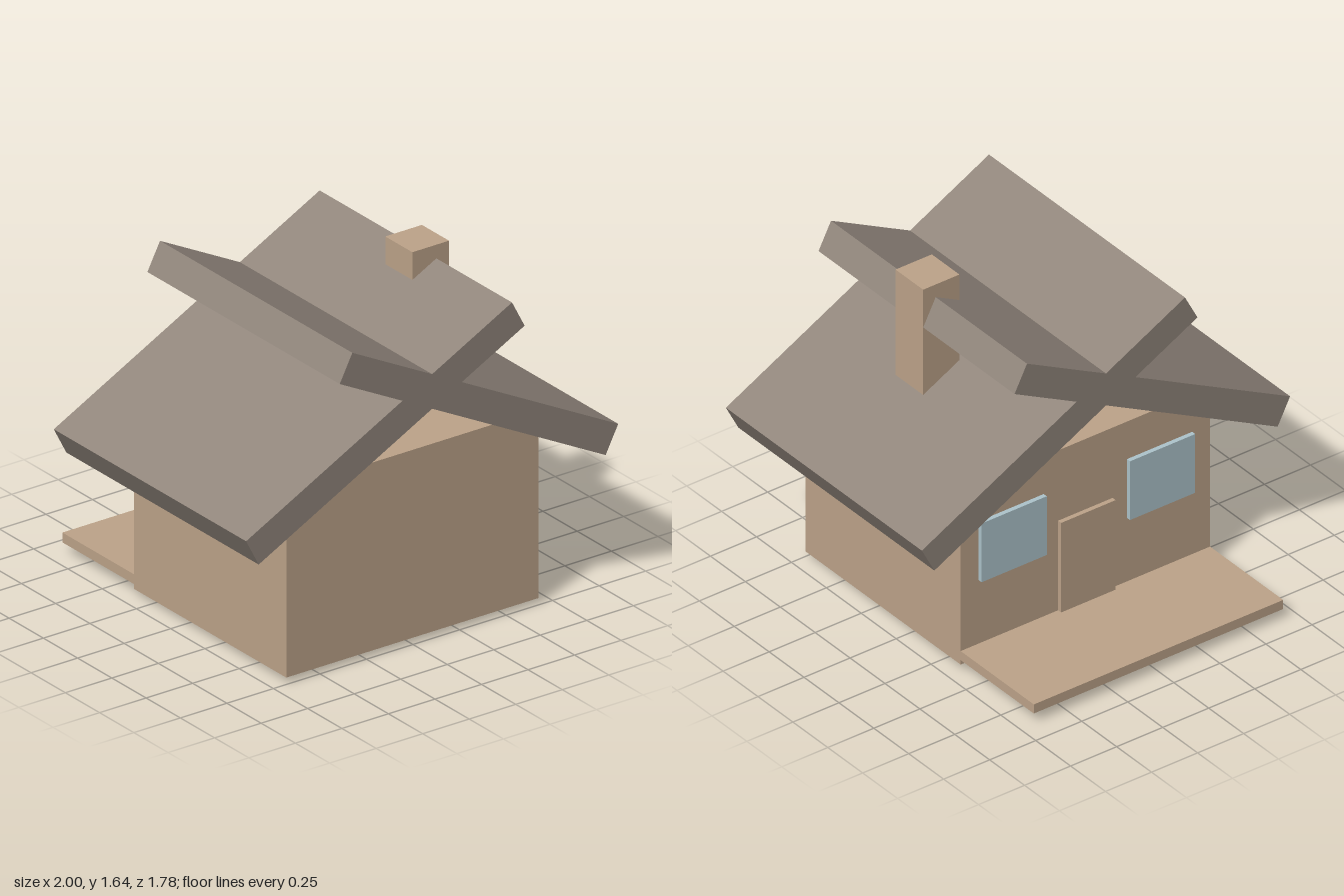
import * as THREE from 'three';

export function createModel() {
  const house = new THREE.Group();
  house.name = 'cabin';

  const material = (name, color) => {
    const m = new THREE.MeshStandardMaterial({ color });
    m.name = name;
    return m;
  };
  const wood = material('tan wood', 0xbea48a);
  const roofing = material('grey roof', 0x91867c);
  const glass = material('pale blue glass', 0xaec5cc);

  // Box given by its extents along each axis
  function block(name, mat, [x0, x1], [y0, y1], [z0, z1]) {
    const mesh = new THREE.Mesh(new THREE.BoxGeometry(x1 - x0, y1 - y0, z1 - z0), mat);
    mesh.position.set((x0 + x1) / 2, (y0 + y1) / 2, (z0 + z1) / 2);
    mesh.name = name;
    house.add(mesh);
    return mesh;
  }

  const wallZ = -0.366;
  const trimZ = [-0.388, wallZ];

  // Walls, porch and door
  block('walls', wood, [-0.677, 0.677], [0.03, 0.93], [wallZ, 0.745]);
  block('porch', wood, [-0.677, 0.677], [0.053, 0.1], [-0.89, wallZ]);
  block('door', wood, [-0.148, 0.148], [0, 0.565], trimZ);

  // Chimney rising through the roof
  block('chimney', wood, [0.3, 0.497], [0.88, 1.637], [0.14, 0.338]);

  // Mirrored windows and crossing roof slabs
  for (const side of [-1, 1]) {
    const window = block('window', glass, [-0.177, 0.177], [0.43, 0.735], trimZ);
    window.position.x = side * 0.403;

    const slab = new THREE.Mesh(new THREE.BoxGeometry(1.61, 0.147, 1.404), roofing);
    slab.position.set(side * 0.2515, 1.135, 0.188);
    slab.rotation.z = -side * THREE.MathUtils.degToRad(27.45);
    slab.name = 'roofSlab';
    house.add(slab);
  }

  return house;
}
